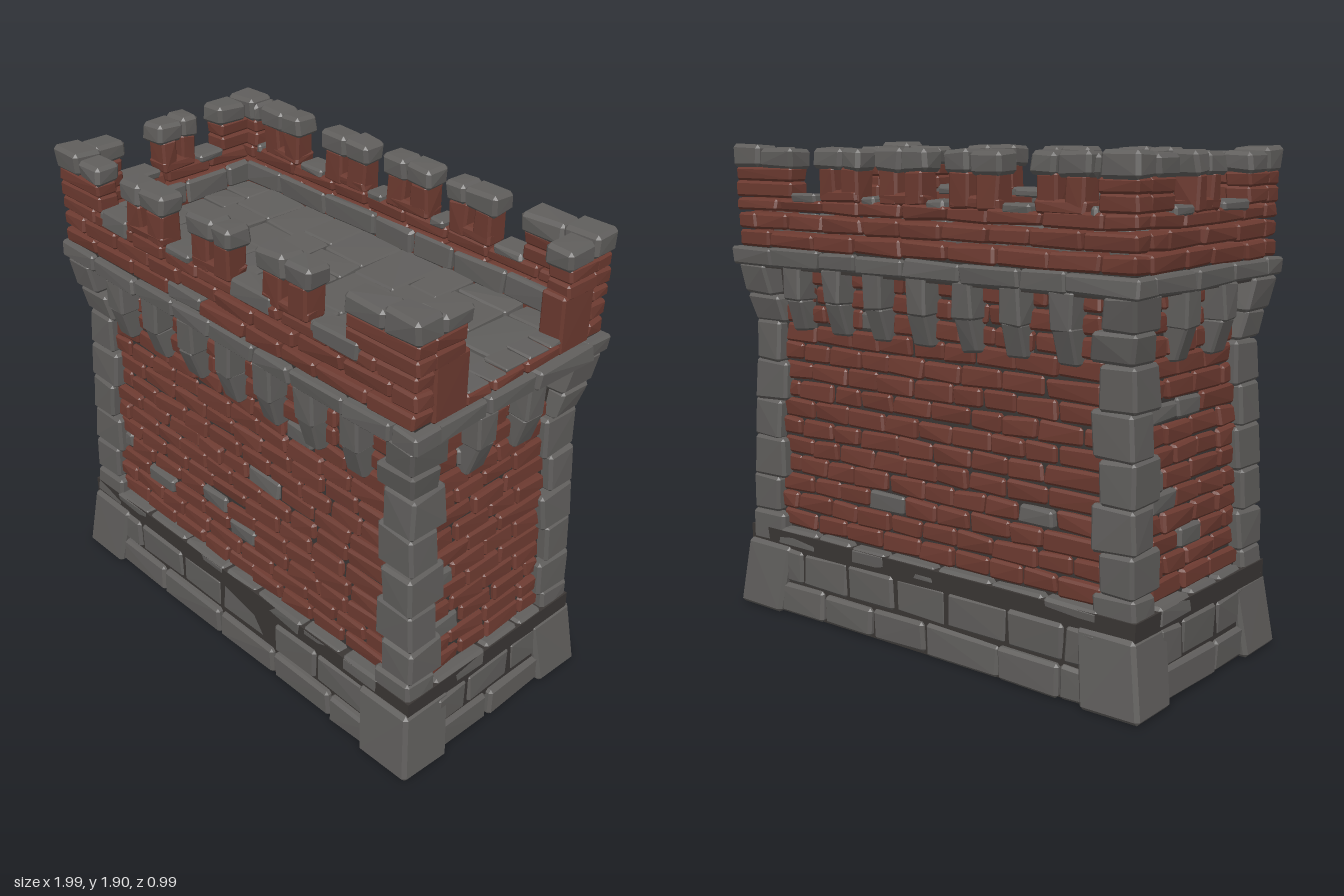
import * as THREE from 'three';
import { mergeGeometries } from 'three/addons/utils/BufferGeometryUtils.js';
import { ConvexGeometry } from 'three/addons/geometries/ConvexGeometry.js';

export function createModel() {
  const mats = {};
  for (const [name, color] of [['stone', 0x605e5c], ['brick', 0x6c3a30], ['mortar', 0x3a3634]]) {
    mats[name] = new THREE.MeshStandardMaterial({ color });
    mats[name].name = name;
  }

  // Small seeded generator
  let seed = 7;
  const rnd = () => {
    seed = (seed + 0x6d2b79f5) | 0;
    let t = Math.imul(seed ^ (seed >>> 15), 1 | seed);
    t = (t + Math.imul(t ^ (t >>> 7), 61 | t)) ^ t;
    return ((t ^ (t >>> 14)) >>> 0) / 4294967296;
  };
  const jit = (a) => (rnd() - 0.5) * 2 * a;

  // Walls lean inward a little as they rise
  const taper = (v) => {
    const k = 1 - 0.05 * (v.y - 0.35);
    v.x *= k;
    v.z *= k;
  };

  // One rough chamfered block; side turns it onto the front, right, back or left
  const parts = new Map();
  const up = new THREE.Vector3(0, 1, 0);
  function block(part, mat, [x0, x1], [y0, y1], [z0, z1], { c = 0.009, j = 0.005, side = 0, bend } = {}) {
    const pts = [];
    for (const i of [0, 1]) for (const k of [0, 1]) for (const l of [0, 1]) {
      const p = [i ? x1 : x0, k ? y1 : y0, l ? z1 : z0];
      const off = [jit(j), y0 <= 0 && !k ? 0 : jit(j), jit(j)];
      const dir = [i ? -1 : 1, k ? -1 : 1, l ? -1 : 1];
      for (let a = 0; a < (c ? 3 : 1); a++) {
        const q = p.map((n, b) => n + off[b] + (c && b !== a ? dir[b] * c : 0));
        const v = new THREE.Vector3(...q).applyAxisAngle(up, side * Math.PI / 2);
        if (bend) bend(v);
        pts.push(v);
      }
    }
    const key = part + '|' + mat;
    if (!parts.has(key)) parts.set(key, []);
    parts.get(key).push(new ConvexGeometry(pts));
  }

  // A course of blocks with uneven lengths; odd courses start with a half block
  function course(part, mat, [u0, u1], ys, zs, w, odd, opts = {}) {
    let u = u0;
    let first = odd;
    while (u < u1 - 0.001) {
      let end = u + w * (0.82 + 0.36 * rnd()) * (first ? 0.55 : 1);
      if (u1 - end < w * 0.45) end = u1;
      first = false;
      const m = opts.grey && rnd() < opts.grey ? 'stone' : mat;
      const g = opts.gap ?? 0.004;
      block(part, m, [u + g, end - g], [ys[0] + g, ys[1] - g], [zs[0], zs[1] + jit(0.006)], opts);
      u = end;
    }
  }

  const HX = 0.93, HZ = 0.43;
  const plain = { c: 0, j: 0 };

  // Solid cores behind the masonry
  block('baseCore', 'mortar', [-0.95, 0.95], [0, 0.34], [-0.45, 0.45], plain);
  block('wallCore', 'mortar', [-0.9, 0.9], [0.3, 1.45], [-0.4, 0.4], { ...plain, bend: taper });
  block('deckCore', 'mortar', [-0.93, 0.93], [1.42, 1.51], [-0.46, 0.46], plain);

  for (let side = 0; side < 4; side++) {
    const long = side % 2 === 0;
    const depth = long ? HZ : HX;
    const half = long ? 0.8 : 0.3;

    // Base courses
    [[0, 0.13], [0.13, 0.275], [0.275, 0.355]].forEach((ys, i) =>
      course('baseStones', 'stone', [-half, half], ys, [depth - 0.08, depth + 0.04 - i * 0.012],
        [0.32, 0.29, 0.23][i], i === 1, { side, c: 0.012 }));

    // Brick courses, with a few grey stones among them
    const n = 14, h = (1.435 - 0.355) / n;
    for (let i = 0; i < n; i++) {
      course('wallBricks', 'brick', [-half, half], [0.355 + i * h, 0.355 + (i + 1) * h],
        [depth - 0.06, depth - 0.01], 0.175, i % 2 === 1, { side, grey: 0.055, bend: taper });
    }

    // Corbels under the ledge
    const count = long ? 7 : 2;
    const face = depth * 0.955;
    for (let i = 0; i < count; i++) {
      const u = (i - (count - 1) / 2) * (long ? 0.215 : 0.25);
      const lean = (v) => {
        const t = THREE.MathUtils.clamp((v.y - 1.18) / 0.14, 0, 1);
        const axis = long ? 'z' : 'x';
        if (Math.abs(v[axis]) > face) v[axis] -= Math.sign(v[axis]) * 0.045 * (1 - t);
      };
      block('corbels', 'stone', [u - 0.042, u + 0.042], [1.18, 1.31], [face - 0.05, face + 0.065], { side, bend: lean });
      block('corbels', 'stone', [u - 0.046, u + 0.046], [1.3, 1.44], [face - 0.05, face + 0.067], { side });
    }

    // Projecting ledge
    const reach = long ? 0.968 : 0.4;
    course('ledge', 'stone', [-reach, reach], [1.43, 1.502], [depth - 0.06, long ? 0.49 : 0.968], 0.23, false,
      { side, gap: 0.002 });
  }

  // Corner piers: foot block, stacked quoins and flared heads
  const flare = (v) => {
    const t = THREE.MathUtils.clamp((v.y - 1.19) / 0.22, 0, 1);
    taper(v);
    v.x += Math.sign(v.x) * 0.05 * t;
    v.z += Math.sign(v.z) * 0.052 * t;
  };
  const foot = (v) => {
    const t = v.y / 0.28;
    v.x -= Math.sign(v.x) * 0.04 * t;
    v.z -= Math.sign(v.z) * 0.03 * t;
  };
  const levels = [0.275, 0.41, 0.56, 0.72, 0.88, 1.04, 1.2, 1.31, 1.435];
  const span = (s, a, b) => (s > 0 ? [a, b] : [-b, -a]);
  for (const sx of [-1, 1]) for (const sz of [-1, 1]) {
    block('cornerFeet', 'stone', span(sx, 0.75, 0.993), [0, 0.28], span(sz, 0.27, 0.495),
      { c: 0.014, bend: foot });
    for (let i = 0; i < levels.length - 1; i++) {
      const wide = i % 2 ? 0.035 : 0;
      block('cornerPiers', 'stone', span(sx, 0.765 + wide, 0.947 + jit(0.005)), [levels[i], levels[i + 1]],
        span(sz, 0.305 - wide, 0.447 + jit(0.004)), { c: 0.012, bend: flare });
    }
  }

  // Parapet: lower brick courses; the right end is almost open
  const inZ = [0.385, 0.476], inX = [0.845, 0.945];
  const rows = [[1.5, 1.57], [1.57, 1.64], [1.64, 1.7]];
  const tall = [[1.7, 1.76], [1.76, 1.815]];
  for (const side of [0, 2]) rows.forEach((ys, i) =>
    course('parapet', 'brick', [-0.945, 0.945], ys, inZ, 0.21, i === 1, { side, grey: 0.05 }));
  rows.forEach((ys, i) => course('parapet', 'brick', [-0.385, 0.385], ys, inX, 0.2, i === 1, { side: 3 }));
  course('parapet', 'brick', [-0.24, 0.24], [1.5, 1.55], inX, 0.16, false, { side: 1 });
  course('rightSill', 'stone', [-0.24, 0.24], [1.545, 1.565], [0.84, 0.945], 0.1, false, { side: 1, c: 0.004, j: 0.003 });
  for (const sz of [-1, 1]) block('parapet', 'brick', inX, [1.5, 1.72], span(sz, 0.23, 0.39), { j: 0.002 });

  // Corner turrets: brick L shapes with stone caps [sx, sz, inner x]
  for (const [sx, sz, xi] of [[-1, 1, 0.69], [-1, -1, 0.79], [1, 1, 0.63], [1, -1, 0.63]]) {
    for (const ys of tall) {
      block('turrets', 'brick', span(sx, xi, 0.945), ys, span(sz, ...inZ), { j: 0.003 });
      block('turrets', 'brick', span(sx, ...inX), ys, span(sz, 0.25, 0.4), { j: 0.003 });
    }
    block('turretCaps', 'stone', span(sx, 0.8, 0.952), [1.81, 1.9], span(sz, 0.37, 0.487), { c: 0.014 });
    block('turretCaps', 'stone', span(sx, Math.min(xi - 0.01, 0.77), 0.8), [1.81, 1.885], span(sz, 0.375, 0.483), { c: 0.014 });
    block('turretCaps', 'stone', span(sx, 0.835, 0.952), [1.81, 1.887], span(sz, 0.235, 0.37), { c: 0.014 });
  }

  // Merlons: two brick legs with a slit between them under a stone cap
  function merlon(u0, u1, zs, side) {
    const m = (u0 + u1) / 2;
    for (const [a, b] of [[u0 + 0.02, m - 0.016], [m + 0.016, u1 - 0.02]]) {
      block('merlons', 'brick', [a, b], [1.69, 1.82], zs, { side });
    }
    block('merlons', 'brick', [u0 + 0.02, u1 - 0.02], [1.69, 1.735], zs, { side });
    const cut = m + jit(0.03);
    for (const [a, b] of [[u0, cut], [cut, u1]]) {
      block('merlonCaps', 'stone', [a, b], [1.81, 1.893], [zs[0] - 0.008, zs[1] + 0.008], { side, c: 0.014 });
    }
  }
  const front = [[-0.54, -0.29], [-0.16, 0.08], [0.21, 0.47]];
  const back = [[-0.5, -0.26], [-0.19, 0.06], [0.14, 0.4], [0.52, 0.76]];
  front.forEach(([a, b]) => merlon(a, b, inZ, 0));
  back.forEach(([a, b]) => merlon(a, b, inZ, 2));
  merlon(-0.13, 0.07, inX, 3);

  // Stone copings in the gaps between merlons
  function copings(list, u0, u1, zs, side) {
    const edges = [u0, ...list.flat(), u1];
    for (let i = 0; i < edges.length; i += 2) {
      block('copings', 'stone', [edges[i], edges[i + 1]], [1.68, 1.718], [zs[0] - 0.004, zs[1] + 0.003], { side, j: 0.003 });
    }
  }
  copings(front, -0.69, 0.63, inZ, 0);
  copings(back, -0.63, 0.79, inZ, 2);
  copings([[-0.13, 0.07]], -0.25, 0.25, inX, 3);
  for (const [a, b] of [[-0.67, -0.52], [0.07, 0.28], [0.48, 0.69]]) {
    block('copings', 'stone', [a, b], [1.655, 1.722], [0.39, 0.484]);
  }

  // Stone curb around the inside of the deck
  for (const side of [0, 2]) course('curb', 'stone', [-0.84, 0.84], [1.54, 1.64], [0.36, 0.39], 0.24, false, { side });
  course('curb', 'stone', [-0.37, 0.37], [1.54, 1.64], [0.82, 0.85], 0.2, true, { side: 3 });

  // Deck slabs in uneven columns
  let x = -0.84;
  while (x < 0.839) {
    let end = x + 0.13 + 0.12 * rnd();
    if (0.84 - end < 0.1) end = 0.84;
    let z = -0.38;
    while (z < 0.379) {
      let ze = z + 0.11 + 0.18 * rnd();
      if (0.38 - ze < 0.09) ze = 0.38;
      block('deckSlabs', 'stone', [x + 0.003, end - 0.003], [1.49, 1.55 + jit(0.006)], [z + 0.003, ze - 0.003], { c: 0.007 });
      z = ze;
    }
    x = end;
  }

  // One mesh per part and material
  const model = new THREE.Group();
  model.name = 'castleWall';
  for (const [key, list] of parts) {
    const [part, mat] = key.split('|');
    const mesh = new THREE.Mesh(mergeGeometries(list), mats[mat]);
    mesh.name = mat === 'stone' && /Bricks|parapet/.test(part) ? part + 'Grey' : part;
    model.add(mesh);
  }
  return model;
}
